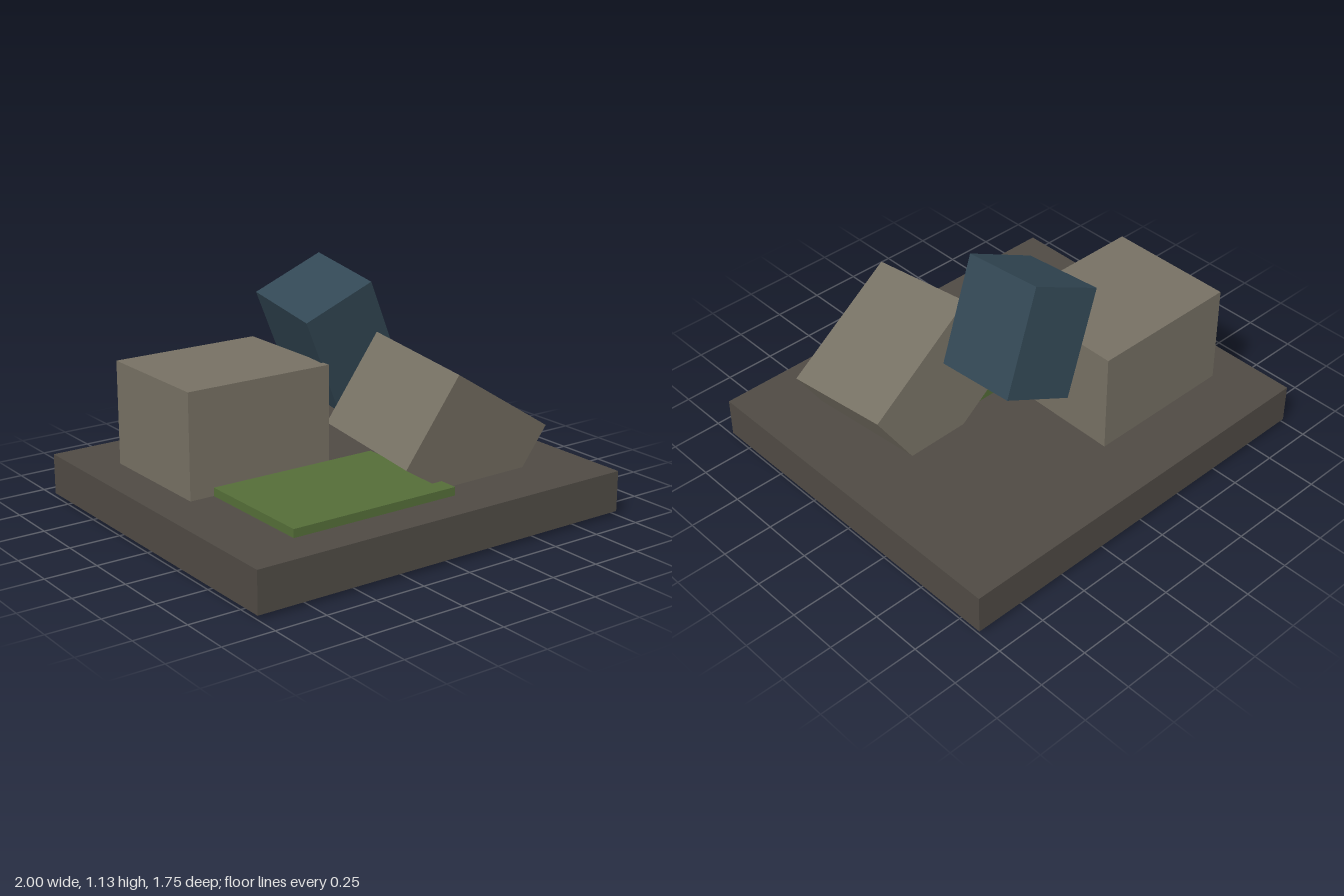
import * as THREE from 'three';

const paint = (name, color) => {
  const m = new THREE.MeshStandardMaterial({ color });
  m.name = name;
  return m;
};

export function createModel() {
  const group = new THREE.Group();
  const slabStone = paint('dark stone', 0x4f4a44);
  const stone = paint('pale stone', 0x767063);
  const moss = paint('moss green', 0x546d38);
  const slate = paint('slate blue', 0x324754);

  const block = (name, material, size, position, rotation = [0, 0, 0]) => {
    const mesh = new THREE.Mesh(new THREE.BoxGeometry(...size), material);
    mesh.name = name;
    mesh.position.set(...position);
    mesh.rotation.set(...rotation);
    group.add(mesh);
  };

  // Ground slab and the moss patch lying on it
  block('baseSlab', slabStone, [2, 0.197, 1.75], [0, 0.1215, 0]);
  block('mossPatch', moss, [0.87, 0.04, 0.62], [-0.255, 0.24, 0.372]);

  // Upright block
  block('uprightBlock', stone, [0.75, 0.5, 0.63], [-0.435, 0.47, -0.255]);

  // Toppled block, one corner sunk through the slab
  block('toppledBlock', stone, [0.682, 0.479, 0.585], [0.375, 0.421, 0.31], [0.128, 0.017, -0.551]);

  // Slate block resting against the others
  block('leaningBlock', slate, [0.372, 0.521, 0.4445], [0.12, 0.7975, -0.19], [0.135, -0.045, 0.437]);

  return group;
}
